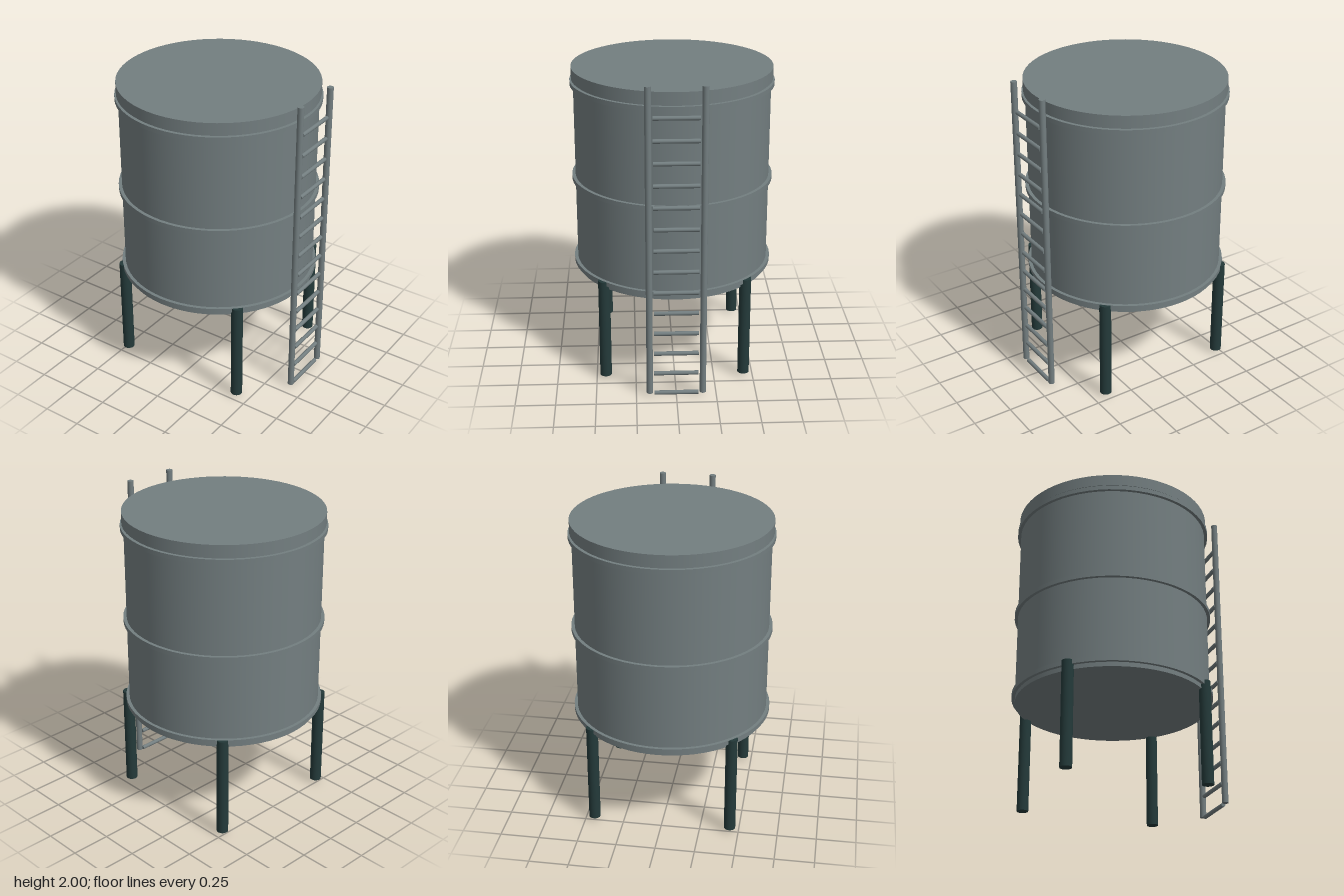
import * as THREE from 'three';

export function createModel() {
  const model = new THREE.Group();
  const steel = new THREE.MeshStandardMaterial({ name: 'grey steel', color: 0x737e80 });
  const darkSteel = new THREE.MeshStandardMaterial({ name: 'dark green steel', color: 0x243a3a });

  // Upright cylinder from y0 to y1
  function post(name, parent, material, r, y0, y1, x, z, sides) {
    const mesh = new THREE.Mesh(new THREE.CylinderGeometry(r, r, y1 - y0, sides), material);
    mesh.name = name;
    mesh.position.set(x, (y0 + y1) / 2, z);
    parent.add(mesh);
  }

  // Tank body, lid and hoops
  const tank = new THREE.Group();
  tank.name = 'tank';
  tank.position.x = -0.035;
  post('tankBody', tank, steel, 0.617, 0.627, 1.9, 0, 0, 64);
  post('tankLid', tank, steel, 0.628, 1.872, 1.948, 0, 0, 64);
  for (const y of [0.669, 1.232, 1.849]) {
    post('tankHoop', tank, steel, 0.638, y - 0.014, y + 0.014, 0, 0, 64);
  }

  // Four legs fixed to the outside of the tank
  for (const sx of [-1, 1]) {
    for (const sz of [-1, 1]) {
      post('leg', tank, darkSteel, 0.037, 0.018, 0.682, sx * 0.442, sz * 0.442, 20);
    }
  }
  model.add(tank);

  // Ladder on the model's left side
  const ladder = new THREE.Group();
  ladder.name = 'ladder';
  ladder.position.x = 0.648;
  for (const z of [-0.166, 0.166]) {
    post('ladderRail', ladder, steel, 0.02, 0.016, 2, 0, z, 16);
  }
  const rungGeometry = new THREE.CylinderGeometry(0.0135, 0.0135, 0.276, 12).rotateX(Math.PI / 2);
  for (let i = 0; i < 14; i++) {
    const rung = new THREE.Mesh(rungGeometry, steel);
    rung.name = 'ladderRung';
    rung.position.y = 0.0135 + i * 0.1382;
    ladder.add(rung);
  }
  model.add(ladder);

  return model;
}
